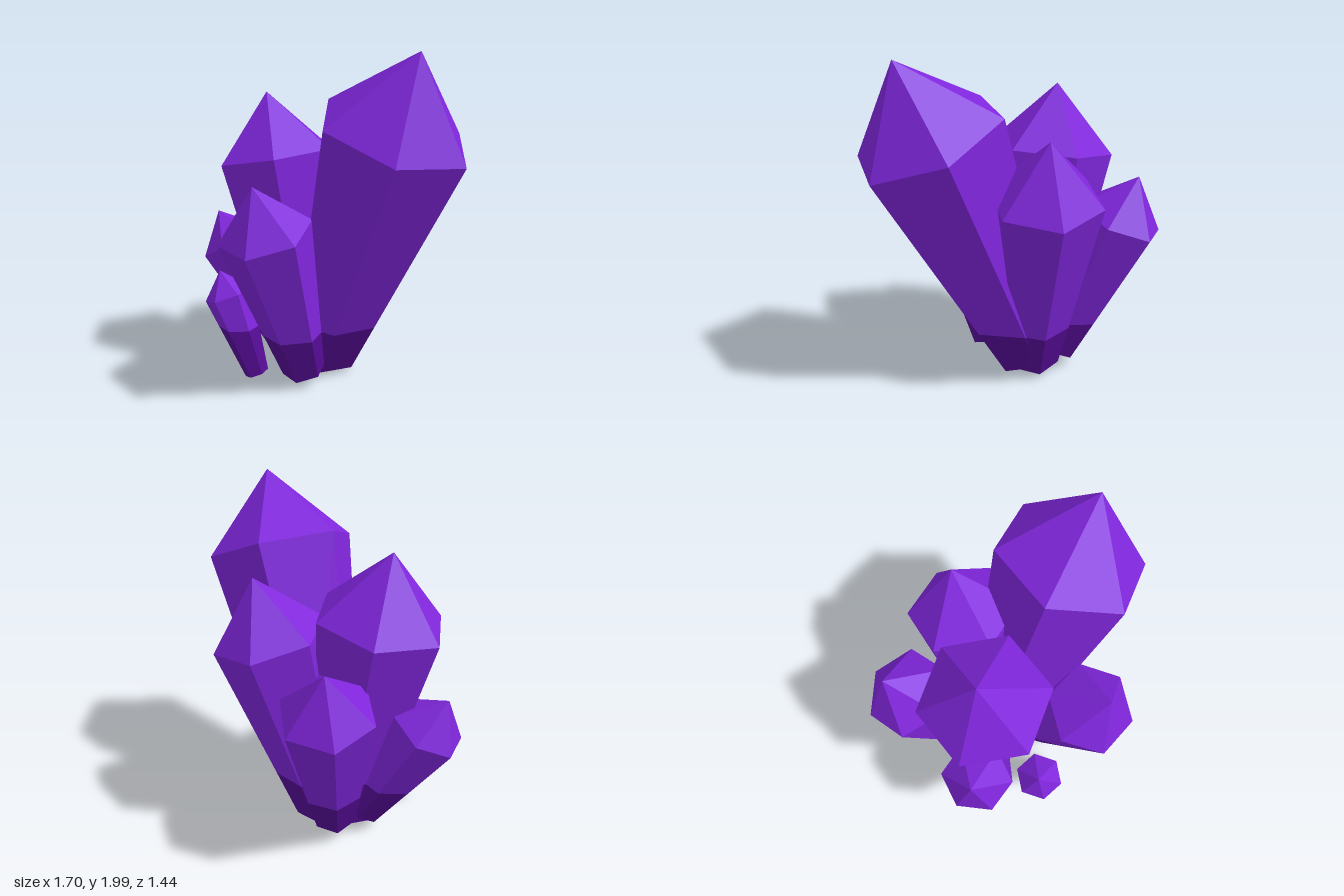
import * as THREE from 'three';

const SIDES = 6;
const SHOULDER = 0.775;  // where the shaft ends and the point begins, along the axis
const BASE_RATIO = 0.5;  // base radius relative to shoulder radius
const ROOT_HEIGHT = 0.355; // level at which the dark root colour ends

const crystalMaterial = new THREE.MeshStandardMaterial({ color: 0x8026dc });
crystalMaterial.name = 'brightPurple';
const rootMaterial = new THREE.MeshStandardMaterial({ color: 0x560c96 });
rootMaterial.name = 'darkPurple';

// base centre, tip, shoulder radius, and x/z direction of one shoulder corner
const CRYSTALS = [
  { name: 'tallRightCrystal', base: [-0.15, 0.11, -0.08], tip: [0.65, 2.0, -0.083], radius: 0.44, corner: [0.38, -0.15] },
  { name: 'largeMiddleCrystal', base: [-0.19, 0.037, -0.01], tip: [-0.45, 1.75, 0.123], radius: 0.375, corner: [-0.34, 0.145] },
  { name: 'backCrystal', base: [-0.16, 0.08, -0.145], tip: [-0.04, 1.59, -0.493], radius: 0.325, corner: [0.3125, -0.087] },
  { name: 'frontCrystal', base: [-0.03, 0.095, 0.165], tip: [0.09, 1.3, 0.585], radius: 0.27, corner: [0.27, -0.01] },
  { name: 'backLeftCrystal', base: [-0.335, 0.12, -0.157], tip: [-0.69, 1.28, -0.41], radius: 0.265, corner: [-0.245, -0.087] },
  { name: 'frontLeftCrystal', base: [-0.35, 0.103, 0.05], tip: [-0.75, 0.98, 0.315], radius: 0.215, corner: [-0.195, 0.015] },
  { name: 'smallFrontCrystal', base: [-0.225, 0.055, 0.385], tip: [-0.4, 0.7, 0.52], radius: 0.145, corner: [-0.14, -0.015] },
];

// Flat-faced mesh from a list of triangle corners
function facetMesh(points, material, name) {
  const geometry = new THREE.BufferGeometry().setFromPoints(points);
  geometry.computeVertexNormals();
  const mesh = new THREE.Mesh(geometry, material);
  mesh.name = name;
  return mesh;
}

// Band of quads between two rings
function band(lower, upper) {
  return lower.flatMap((a, i) => {
    const j = (i + 1) % SIDES;
    return [a, lower[j], upper[j], a, upper[j], upper[i]];
  });
}

// Fan of triangles from a ring to a point
function fan(ring, point, flip) {
  return ring.flatMap((a, i) => {
    const b = ring[(i + 1) % SIDES];
    return flip ? [b, a, point] : [a, b, point];
  });
}

function buildCrystal({ name, base, tip, radius, corner }) {
  const bottom = new THREE.Vector3(...base);
  const top = new THREE.Vector3(...tip);
  const axis = top.clone().sub(bottom).normalize();

  // Axes of the cross-section, square to the crystal
  const [cx, cz] = corner;
  const u = new THREE.Vector3(cx, -(cx * axis.x + cz * axis.z) / axis.y, cz).normalize();
  const w = axis.clone().cross(u);
  const ring = (centre, r) => Array.from({ length: SIDES }, (_, i) => {
    const t = (i / SIDES) * Math.PI * 2;
    return centre.clone().addScaledVector(u, r * Math.cos(t)).addScaledVector(w, r * Math.sin(t));
  });

  const foot = ring(bottom, radius * BASE_RATIO);
  const shoulder = ring(bottom.clone().lerp(top, SHOULDER), radius);
  // Level cut through the shaft where the colour changes
  const cut = foot.map((p, i) =>
    p.clone().lerp(shoulder[i], (ROOT_HEIGHT - p.y) / (shoulder[i].y - p.y)));

  const group = new THREE.Group();
  group.name = name;
  group.add(
    facetMesh([...band(foot, cut), ...fan(foot, bottom, true)], rootMaterial, 'root'),
    facetMesh(band(cut, shoulder), crystalMaterial, 'shaft'),
    facetMesh(fan(shoulder, top, false), crystalMaterial, 'point'),
  );
  return group;
}

export function createModel() {
  const model = new THREE.Group();
  model.name = 'crystalCluster';
  CRYSTALS.forEach((c) => model.add(buildCrystal(c)));
  return model;
}
